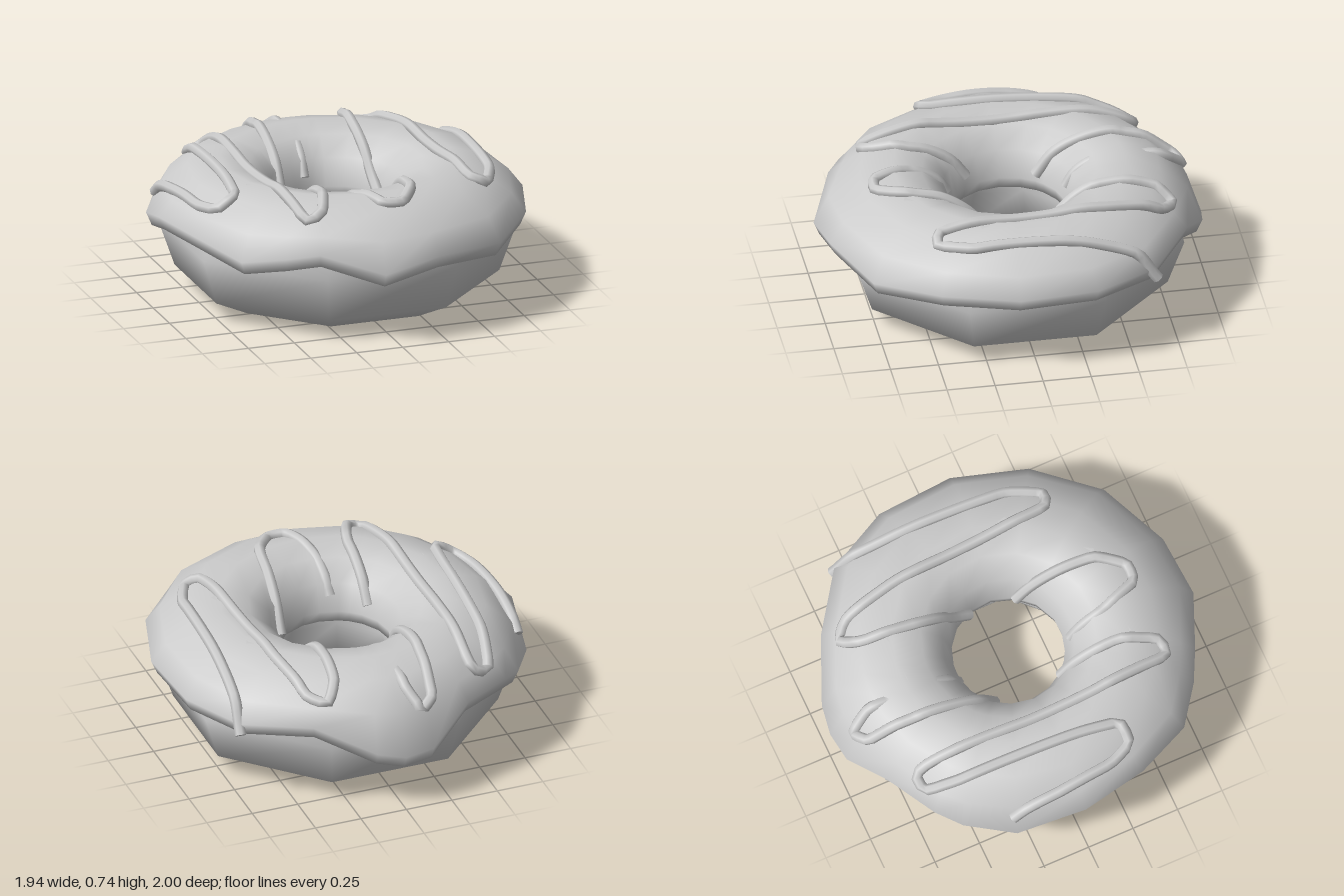
import * as THREE from 'three';

// Icing rim, counter-clockwise from the front: x, z, height of the lower edge
const RIM = [
  [-0.09, 1, 0.33], [0.22, 0.97, 0.39], [0.6, 0.81, 0.36], [0.85, 0.5, 0.4],
  [0.97, 0.11, 0.4], [0.94, -0.3, 0.4], [0.77, -0.63, 0.4], [0.45, -0.85, 0.43],
  [0.15, -0.98, 0.28], [0, -1, 0.24], [-0.16, -0.98, 0.25], [-0.4, -0.86, 0.41], [-0.66, -0.71, 0.4],
  [-0.77, -0.6, 0.36], [-0.91, -0.36, 0.32], [-0.97, 0, 0.42], [-0.9, 0.35, 0.42],
  [-0.75, 0.65, 0.36], [-0.56, 0.79, 0.4], [-0.4, 0.87, 0.43],
].map(([x, z, low]) => ({ a: Math.atan2(x, z), R: Math.hypot(x, z), low }));

// Upper half of the icing section, from the hole to the widest point: [radius, height]
const topSection = (R, low) => [
  [0.29, 0.44], [0.34, 0.58], [0.45, 0.67], [0.6, 0.705], [0.77, 0.662],
  [R - 0.075, 0.5 + 0.17 * low], [R, low + 0.07],
];

// Rim radius and lower edge at any angle
function rimAt(angle) {
  const turn = Math.PI * 2;
  const wrap = (v) => ((v % turn) + turn) % turn;
  for (let i = 0; i < RIM.length; i++) {
    const p = RIM[i], q = RIM[(i + 1) % RIM.length];
    const span = wrap(q.a - p.a), d = wrap(angle - p.a);
    if (d <= span) {
      const t = d / span;
      return [p.R + (q.R - p.R) * t, p.low + (q.low - p.low) * t];
    }
  }
  return [RIM[0].R, RIM[0].low];
}

// Height of the icing above a point
function icingHeight(x, z) {
  const r = Math.hypot(x, z);
  const s = topSection(...rimAt(Math.atan2(x, z)));
  if (r <= s[0][0]) return s[0][1];
  for (let i = 1; i < s.length; i++) {
    if (r <= s[i][0]) {
      const t = (r - s[i - 1][0]) / (s[i][0] - s[i - 1][0]);
      return s[i - 1][1] + (s[i][1] - s[i - 1][1]) * t;
    }
  }
  return s[s.length - 1][1];
}

// Icing skin: one section per rim point, joined in a ring
function icingGeometry() {
  const pos = [], index = [];
  let rows = 0;
  for (const { a, R, low } of RIM) {
    const section = [
      [0.37, 0.37], [0.3, 0.38], ...topSection(R, low),
      [R - 0.03, low], [R - 0.1, low + 0.01], [0.74, low + 0.1],
    ];
    rows = section.length;
    for (const [r, y] of section) pos.push(r * Math.sin(a), y, r * Math.cos(a));
  }
  for (let i = 0; i < RIM.length; i++) {
    const c = i * rows, d = ((i + 1) % RIM.length) * rows;
    for (let j = 0; j < rows - 1; j++) {
      index.push(c + j, c + j + 1, d + j, d + j, c + j + 1, d + j + 1);
    }
  }
  const g = new THREE.BufferGeometry();
  g.setAttribute('position', new THREE.Float32BufferAttribute(pos, 3));
  g.setIndex(index);
  g.computeVertexNormals();
  return g;
}

// Drizzle lines as plan points [x, z, lift above the icing]
const DRIZZLE = {
  drizzleRight: [
    [-0.86, -0.36], [-0.86, -0.1], [-0.83, 0.2], [-0.77, 0.33], [-0.67, 0.32], [-0.64, 0.1],
    [-0.61, -0.5], [-0.56, -0.71], [-0.46, -0.71], [-0.47, -0.1], [-0.46, 0.3], [-0.42, 0.69],
    [-0.33, 0.69], [-0.26, 0.5], [-0.25, 0.18],
  ],
  drizzleBack: [
    [-0.24, -0.18], [-0.22, -0.6], [-0.19, -0.87], [-0.11, -0.92], [-0.06, -0.82],
    [-0.06, -0.7, -0.03], [-0.06, -0.5, -0.03], [-0.07, -0.31, -0.025],
  ],
  drizzleFront: [
    [-0.09, 0.31, -0.015], [-0.07, 0.5, -0.015], [0, 0.7], [0.1, 0.71], [0.2, 0.56], [0.24, 0.15],
  ],
  drizzleLeft: [
    [0.26, -0.1], [0.25, -0.4], [0.28, -0.7], [0.35, -0.79], [0.44, -0.71], [0.5, -0.4],
    [0.53, 0.1], [0.56, 0.45], [0.64, 0.48], [0.72, 0.3], [0.74, -0.1], [0.75, -0.4],
    [0.76, -0.55], [0.77, -0.64, -0.06],
  ],
};

// Tube laid half into the icing, with flat caps on both ends
function drizzleGroup(name, plan, material) {
  const group = new THREE.Group();
  group.name = name;
  const corners = plan.map(([x, z, lift = 0.005]) => new THREE.Vector3(x, lift, z));
  const line = new THREE.CatmullRomCurve3(corners, false, 'catmullrom', 0.2);
  const steps = plan.length * 3;
  const points = line.getPoints(steps).map((p) => p.setY(icingHeight(p.x, p.z) + p.y));
  const path = new THREE.CatmullRomCurve3(points);
  const radius = 0.03;
  const strand = new THREE.Mesh(new THREE.TubeGeometry(path, steps * 2, radius, 7), material);
  strand.name = 'strand';
  group.add(strand);
  for (const t of [0, 1]) {
    const cap = new THREE.Mesh(new THREE.CircleGeometry(radius, 7), material);
    const dir = path.getTangent(t).multiplyScalar(t ? 1 : -1);
    cap.position.copy(path.getPoint(t));
    cap.quaternion.setFromUnitVectors(new THREE.Vector3(0, 0, 1), dir);
    cap.name = 'strandEnd';
    group.add(cap);
  }
  return group;
}

export function createModel() {
  const model = new THREE.Group();
  model.name = 'icedDoughnut';
  const material = new THREE.MeshStandardMaterial({ color: 0xcccccc });

  // Dough ring, eight sides each way, flat sides facing the axes
  const doughGeometry = new THREE.TorusGeometry(0.622, 0.298, 8, 8);
  doughGeometry.rotateX(Math.PI / 2).rotateY(Math.PI / 8).scale(1, 1.175, 1).translate(0, 0.35, 0);
  const dough = new THREE.Mesh(doughGeometry, material);
  dough.name = 'dough';
  model.add(dough);

  // Icing with its drips
  const icing = new THREE.Mesh(icingGeometry(), material);
  icing.name = 'icing';
  model.add(icing);

  // Drizzle on top
  for (const [name, plan] of Object.entries(DRIZZLE)) model.add(drizzleGroup(name, plan, material));
  return model;
}
